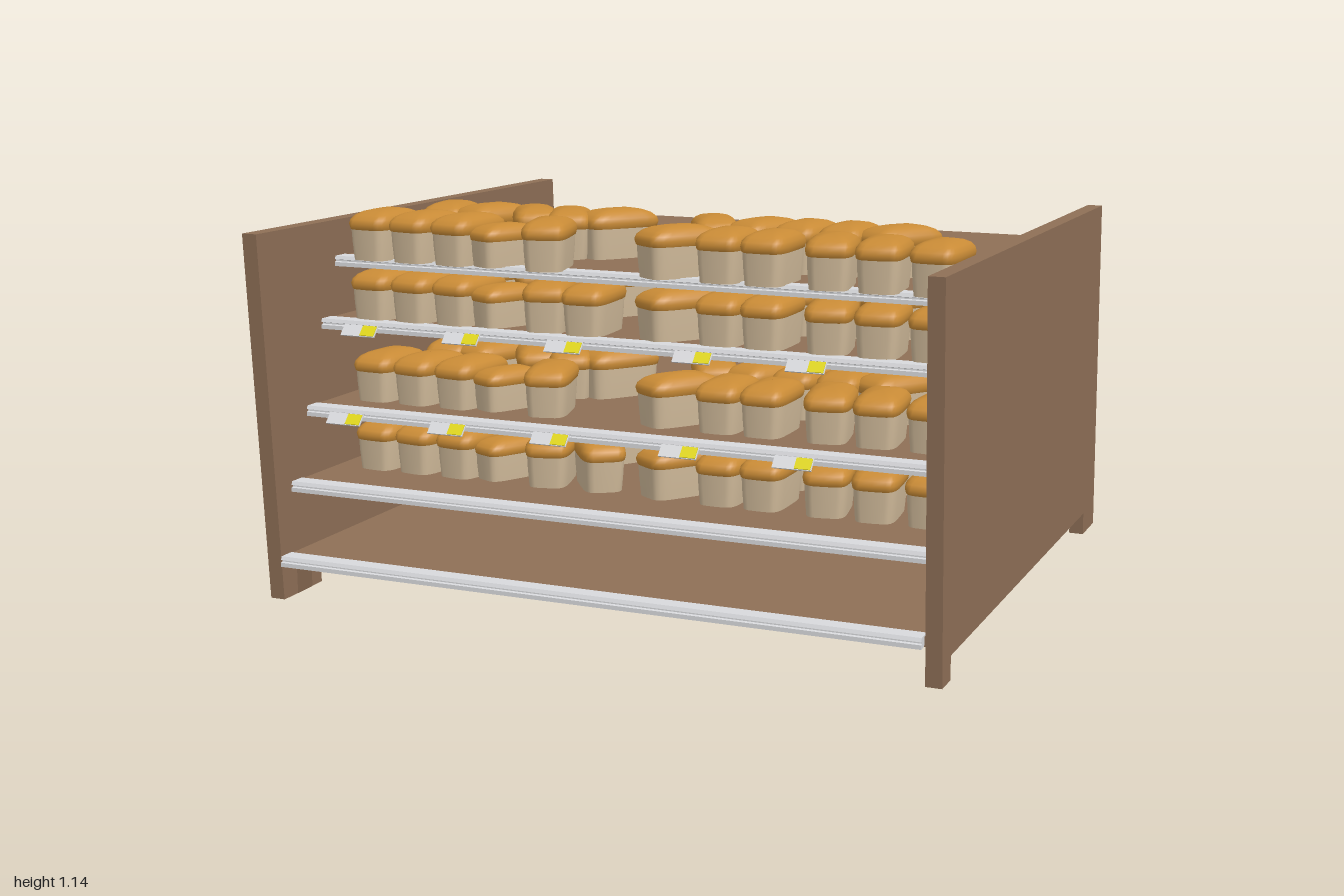
import * as THREE from 'three';

const mat = (name, color, extra = {}) => Object.assign(new THREE.MeshStandardMaterial({ color, ...extra }), { name });
const wood = mat('brown wood', 0x8e6f56);
const metal = mat('pale metal', 0xd8d9dc);
const yellow = mat('yellow label', 0xe2d81c);
const crust = mat('golden crust', 0xc98b36);
const crumb = mat('beige loaf side', 0xcfb999);

function add(parent, name, geometry, material) {
  const m = new THREE.Mesh(geometry, material);
  m.name = name;
  parent.add(m);
  return m;
}

// Extrude a [z, y] profile along x from x0 to x1
function extrudeX(points, x0, x1) {
  const shape = new THREE.Shape(points.map(([z, y]) => new THREE.Vector2(z, y)));
  const g = new THREE.ExtrudeGeometry(shape, { depth: x1 - x0, bevelEnabled: false });
  return g.rotateY(-Math.PI / 2).translate(x1, 0, 0);
}

// Stack rounded-rectangle rings [y, halfWidth, halfLength] into a smooth solid
function stackRings(rings, n = 24) {
  const pos = [], idx = [];
  const soft = v => Math.sign(v) * Math.abs(v) ** 0.45;
  rings.forEach(([y, w, l]) => {
    for (let j = 0; j < n; j++) {
      const a = (j / n) * Math.PI * 2;
      pos.push(w * soft(Math.cos(a)), y, l * soft(Math.sin(a)));
    }
  });
  for (let i = 0; i < rings.length - 1; i++) {
    for (let j = 0; j < n; j++) {
      const a = i * n + j, b = i * n + (j + 1) % n;
      idx.push(a, a + n, b, b, a + n, b + n);
    }
  }
  const g = new THREE.BufferGeometry();
  g.setAttribute('position', new THREE.Float32BufferAttribute(pos, 3));
  g.setIndex(idx);
  g.computeVertexNormals();
  return g;
}

const loafBody = stackRings([[0, 0.001, 0.001], [0, 0.056, 0.106], [0, 0.056, 0.106], [0.05, 0.06, 0.111], [0.095, 0.062, 0.114]]);
const loafCrust = stackRings([
  [0.086, 0.058, 0.11], [0.091, 0.064, 0.116], [0.105, 0.067, 0.12], [0.118, 0.065, 0.114],
  [0.13, 0.056, 0.098], [0.138, 0.042, 0.075], [0.143, 0.022, 0.042], [0.144, 0.001, 0.001],
]);

// Loaf placements: x, z, turn, size
const frontRow = [
  [-0.815, 0.495, -0.08], [-0.68, 0.495, -0.14], [-0.545, 0.495, -0.14], [-0.425, 0.5, -0.45, 0.84], [-0.285, 0.495, 0.25],
  [0.11, 0.495, -0.6], [0.26, 0.495, 0], [0.39, 0.495, 0], [0.56, 0.495, 0.18], [0.705, 0.495, 0.1], [0.865, 0.495, -0.05],
];
const backRow = [
  [-0.745, 0.225, 0.16], [-0.605, 0.225, -0.4], [-0.465, 0.225, 0.5], [-0.35, 0.225, 0.4], [-0.215, 0.185, -0.6],
  [0.11, 0.225, 0.45], [0.265, 0.225, -0.4], [0.39, 0.225, -0.1], [0.52, 0.225, -0.05], [0.665, 0.225, -0.6],
];

// Shelves from bottom to top; y and z mark the top front edge
const shelves = [
  { y: 0.18, z: 0.9 },
  { y: 0.385, z: 0.83, loaves: true, extra: [-0.14, 0.49, 0.6] },
  { y: 0.588, z: 0.735, loaves: true, tags: true },
  { y: 0.828, z: 0.64, loaves: true, tags: true, extra: [-0.145, 0.5, 0.05] },
  { y: 1.0, z: 0.555, loaves: true },
];
const tagX = [-0.815, -0.485, -0.165, 0.22, 0.545];
const SLOPE = 0.0245;

function makeLoaf(parent, [x, z, turn, size = 1], shelfZ) {
  const loaf = new THREE.Group();
  loaf.name = 'breadLoaf';
  add(loaf, 'loafBody', loafBody, crumb);
  add(loaf, 'loafCrust', loafCrust, crust);
  loaf.position.set(x, -0.002, z - shelfZ);
  loaf.rotation.y = turn;
  loaf.scale.setScalar(size);
  parent.add(loaf);
}

function makeTag(parent, x) {
  const tag = new THREE.Group();
  tag.name = 'priceTag';
  add(tag, 'tagPlate', new THREE.BoxGeometry(0.11, 0.038, 0.004), metal);
  add(tag, 'tagLabel', new THREE.BoxGeometry(0.045, 0.034, 0.003).translate(0.03, 0, 0.003), yellow);
  tag.position.set(x, -0.024, 0.02);
  tag.rotation.x = -0.75;
  parent.add(tag);
}

function makeShelf({ y, z, loaves, tags, extra }) {
  const shelf = new THREE.Group();
  shelf.name = 'shelf';
  shelf.position.set(0, y, z);
  shelf.rotation.x = -SLOPE;
  const length = z + 0.945 - 0.056 * y;
  add(shelf, 'shelfBoard', extrudeX([[-0.03, -0.031], [-0.03, -0.003], [-length, -0.003], [-length, -0.031]], -0.957, 0.957), wood);
  // Grooved metal rail on the front edge
  add(shelf, 'frontRail', extrudeX([
    [-0.055, 0], [-0.055, -0.008], [-0.029, -0.008], [-0.029, -0.03], [0, -0.03], [0, -0.018],
    [-0.008, -0.016], [-0.008, -0.012], [0, -0.01], [-0.005, 0],
  ], -0.955, 0.945), metal);
  if (loaves) [...frontRow, ...backRow].forEach(p => makeLoaf(shelf, p, z));
  if (extra) makeLoaf(shelf, extra, z);
  if (tags) tagX.forEach(x => makeTag(shelf, x));
  return shelf;
}

export function createModel() {
  const model = new THREE.Group();
  model.name = 'breadShelf';

  // Leaning side panels with cut-out feet
  const panel = [
    [0.95, 1.115], [-0.89, 1.07], [-0.95, 0.0], [-0.79, 0.004], [-0.786, 0.075],
    [0.815, 0.114], [0.812, 0.047], [0.89, 0.049],
  ];
  add(model, 'leftPanel', extrudeX(panel, 0.955, 1), wood);
  add(model, 'rightPanel', extrudeX(panel, -1, -0.955), wood);

  // Slanted brace at the right front foot
  const brace = new THREE.Shape([[-0.99, 0.047], [-0.955, 0.047], [-0.905, 0.075], [-0.905, 0.15], [-0.955, 0.15], [-0.99, 0.11]]
    .map(([x, y]) => new THREE.Vector2(x, y)));
  add(model, 'footBrace', new THREE.ExtrudeGeometry(brace, { depth: 0.05, bevelEnabled: false }).translate(0, 0, 0.77), wood);

  shelves.forEach(s => model.add(makeShelf(s)));

  // Narrow bar behind the fourth shelf
  add(model, 'backBar', new THREE.BoxGeometry(1.91, 0.022, 0.012).translate(0, 0.774, -0.909), wood);
  return model;
}
